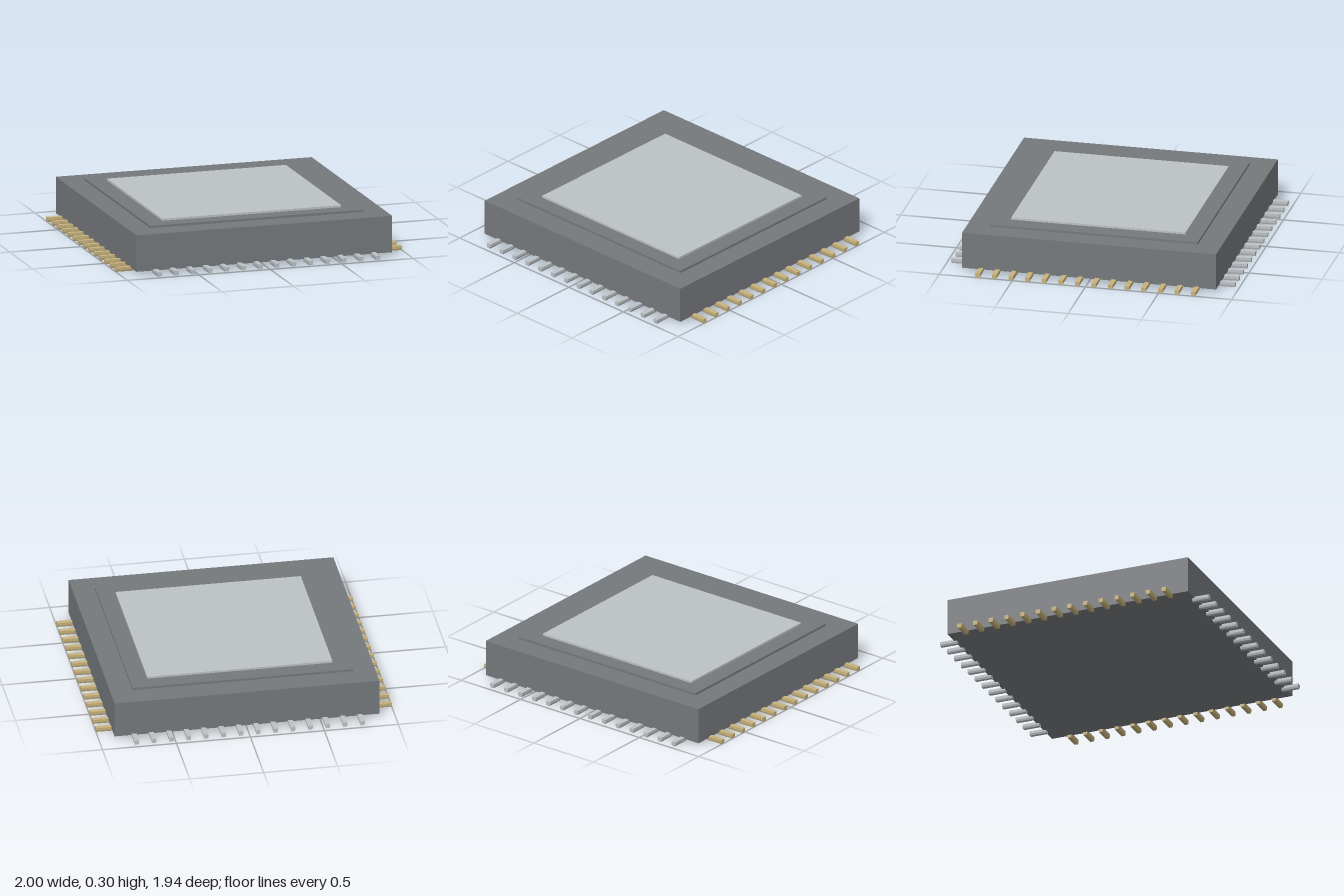
import * as THREE from 'three';

const BODY_X = 0.895, BODY_Z = 0.868, PINS = 14;

export function createModel() {
  const chip = new THREE.Group();
  chip.name = 'chipPackage';

  const material = (name, color) => {
    const m = new THREE.MeshStandardMaterial({ color });
    m.name = name;
    return m;
  };
  const darkGrey = material('darkGrey', 0x75787c);
  const silver = material('silver', 0xbcc1c4);
  const gold = material('gold', 0xc6b27c);

  // Stacked slabs: half width, half depth, bottom and top
  const slab = (name, hx, hz, y0, y1, mat) => {
    const mesh = new THREE.Mesh(new THREE.BoxGeometry(hx * 2, y1 - y0, hz * 2), mat);
    mesh.position.y = (y0 + y1) / 2;
    mesh.name = name;
    chip.add(mesh);
  };
  slab('body', BODY_X, BODY_Z, 0.02, 0.27, darkGrey);
  slab('raisedLid', 0.745, 0.708, 0.27, 0.286, darkGrey);
  slab('heatPlate', 0.626, 0.596, 0.286, 0.3, silver);

  // Pin: a bar along z with a slightly narrower underside
  const pinShape = new THREE.Shape([
    new THREE.Vector2(-0.012, 0), new THREE.Vector2(0.012, 0),
    new THREE.Vector2(0.016, 0.012), new THREE.Vector2(0.016, 0.03),
    new THREE.Vector2(-0.016, 0.03), new THREE.Vector2(-0.016, 0.012),
  ]);
  const pinGeometry = new THREE.ExtrudeGeometry(pinShape, { depth: 0.12, bevelEnabled: false });

  // One row of pins per side, turned about the vertical axis
  const pinRow = (name, angle, start, span, mat) => {
    const row = new THREE.Group();
    row.name = name;
    for (let i = 0; i < PINS; i++) {
      const pin = new THREE.Mesh(pinGeometry, mat);
      pin.name = 'pin';
      pin.position.set(span * (2 * i / (PINS - 1) - 1), 0, start);
      row.add(pin);
    }
    row.rotation.y = angle;
    chip.add(row);
  };
  pinRow('frontPins', 0, 0.85, 0.763, silver);
  pinRow('backPins', Math.PI, 0.85, 0.763, silver);
  pinRow('leftPins', Math.PI / 2, 0.88, 0.738, gold);
  pinRow('rightPins', -Math.PI / 2, 0.88, 0.738, gold);

  return chip;
}
